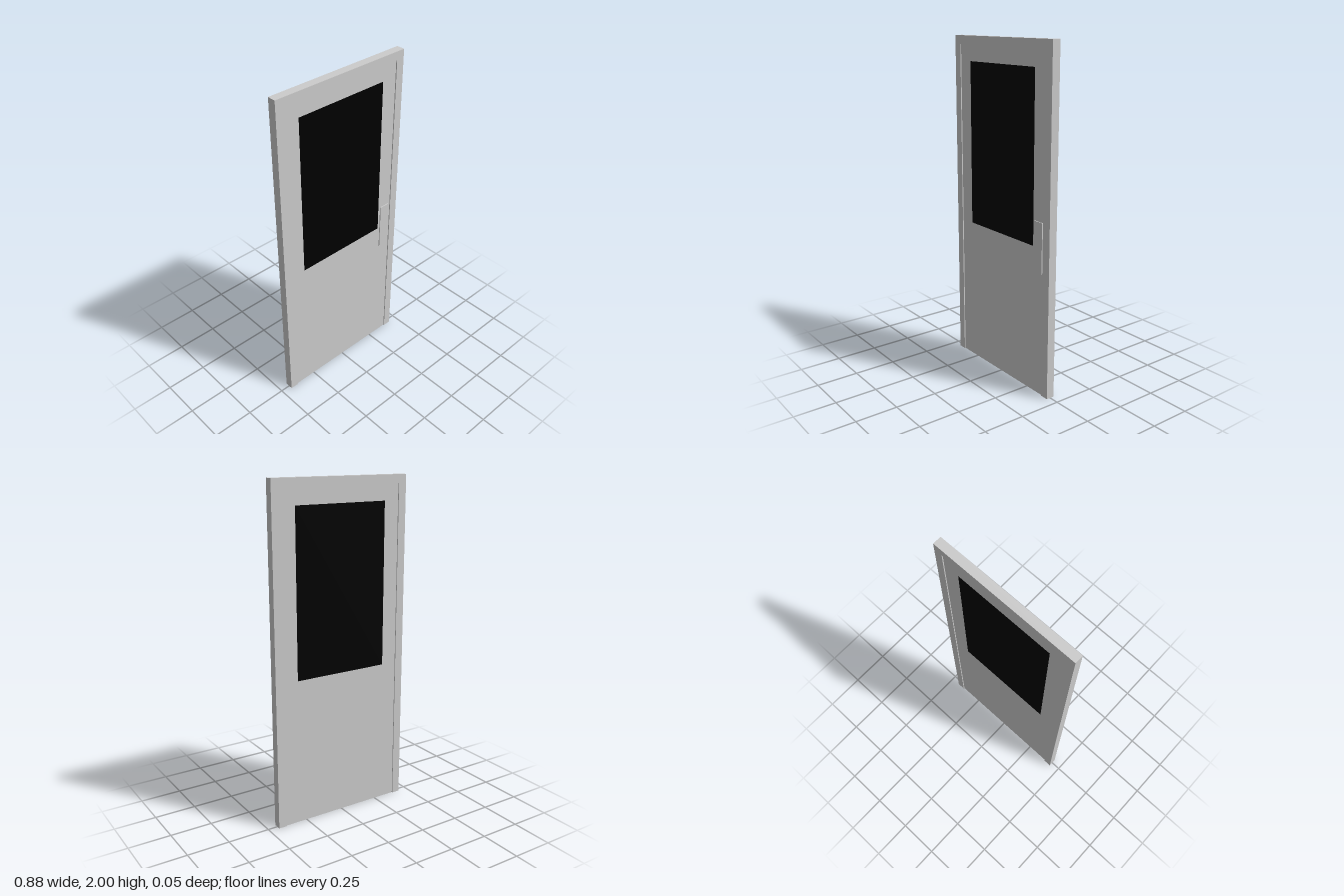
import * as THREE from 'three';

const W = 0.88, H = 2, DEPTH = 0.05, RIM = 0.05, RECESS = 0.006;
const PANEL_DEPTH = DEPTH - 2 * RECESS;
const WIN = { x0: -0.295, x1: 0.295, y0: 0.88, y1: 1.855 };

const grey = new THREE.MeshStandardMaterial({ color: 0xcccccc });
const black = new THREE.MeshStandardMaterial({ color: 0x000000 });

const points = (list) => list.map(([x, y]) => new THREE.Vector2(x, y));
const rect = (x0, y0, x1, y1) => points([[x0, y0], [x1, y0], [x1, y1], [x0, y1]]);

// Flat slab centred on z
function slab(name, outline, depth, material, hole) {
  const shape = new THREE.Shape(outline);
  if (hole) shape.holes.push(new THREE.Path(hole));
  const geometry = new THREE.ExtrudeGeometry(shape, { depth, bevelEnabled: false });
  geometry.translate(0, 0, -depth / 2);
  const mesh = new THREE.Mesh(geometry, material);
  mesh.name = name;
  return mesh;
}

export function createModel() {
  const door = new THREE.Group();
  door.name = 'door';
  const w = W / 2, i = w - RIM, top = H - RIM;

  // Raised rim along both sides and the top, open at the bottom
  door.add(slab('rim', points([
    [-w, 0], [-i, 0], [-i, top], [i, top], [i, 0], [w, 0], [w, H], [-w, H],
  ]), DEPTH, grey));

  // Recessed panel with the window opening
  const opening = rect(WIN.x0, WIN.y0, WIN.x1, WIN.y1);
  door.add(slab('panel', rect(-i, 0, i, top), PANEL_DEPTH, grey, opening));

  // Dark pane flush with the panel on both faces
  door.add(slab('windowPane', opening, PANEL_DEPTH, black));

  // Thin lock plate on the front only
  const plate = new THREE.Mesh(new THREE.BoxGeometry(0.067, 0.295, RECESS), grey);
  plate.name = 'lockPlate';
  plate.position.set(0.343, 0.882, PANEL_DEPTH / 2 + RECESS / 2);
  door.add(plate);

  return door;
}
